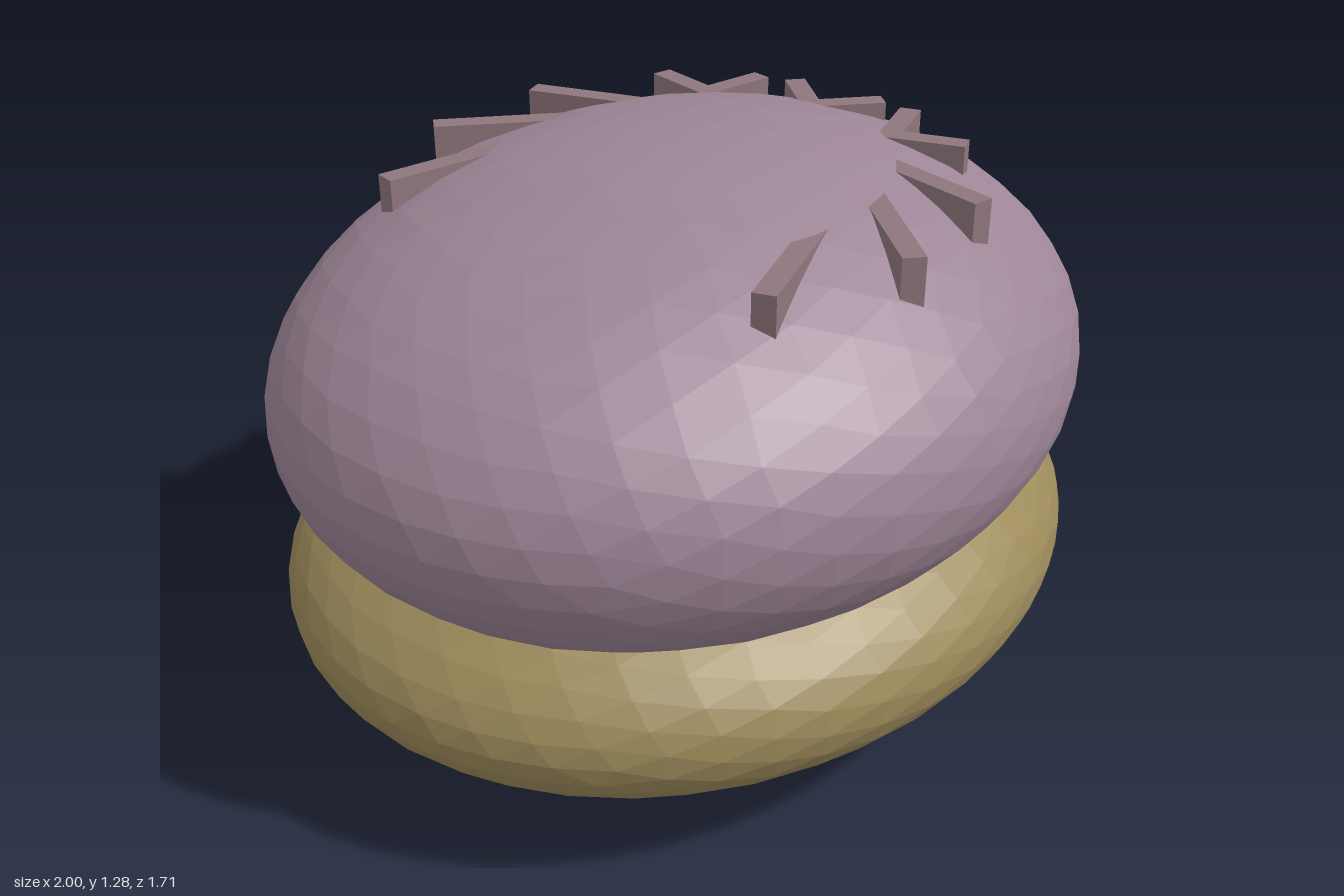
import * as THREE from 'three';

// Faceted ellipsoid: an icosahedron halved repeatedly, pushed onto the sphere, then scaled
function facetedEllipsoid(rx, ry, rz) {
  const pos = new THREE.IcosahedronGeometry(1, 0).attributes.position;
  let points = [];
  for (let i = 0; i < pos.count; i++) points.push(new THREE.Vector3().fromBufferAttribute(pos, i));
  for (let level = 0; level < 3; level++) {
    const next = [];
    for (let i = 0; i < points.length; i += 3) {
      const [a, b, c] = points.slice(i, i + 3);
      const mid = (p, q) => p.clone().add(q).normalize();
      const ab = mid(a, b), bc = mid(b, c), ca = mid(c, a);
      next.push(a, ab, ca, ab, b, bc, ca, bc, c, ab, bc, ca);
    }
    points = next;
  }
  const geometry = new THREE.BufferGeometry().setFromPoints(points);
  geometry.scale(rx, ry, rz);
  geometry.computeVertexNormals();
  return geometry;
}

export function createModel() {
  const group = new THREE.Group();
  const material = (color) => new THREE.MeshStandardMaterial({ color, flatShading: true });
  const add = (name, geometry, mat, x, y, z) => {
    const mesh = new THREE.Mesh(geometry, mat);
    mesh.name = name;
    mesh.position.set(x, y, z);
    group.add(mesh);
    return mesh;
  };

  // Two squashed halves, one resting in the other
  add('lowerShell', facetedEllipsoid(1, 0.355, 0.855), material(0x9c8a5a), 0, 0.358, 0);
  add('upperShell', facetedEllipsoid(1, 0.495, 0.855), material(0x9d8596), 0, 0.79, 0);

  // Flat-topped ridges around the crown, inner ends sunk in the shell: outer x, z to inner x, z
  const ridges = [
    [-0.425, -0.485, -0.02, -0.375],
    [-0.12, -0.63, 0.13, -0.38],
    [0.208, -0.608, 0.285, -0.33],
    [0.485, -0.425, 0.43, -0.23],
    [0.61, -0.21, 0.42, -0.258],
    [0.63, -0.125, 0.505, 0],
  ];
  const ridgeMaterial = material(0x8f777c);
  const top = 1.215, height = 0.18, width = 0.05;
  for (const side of [1, -1]) {
    for (const [x0, z0, x1, z1] of ridges) {
      const dx = x1 - x0, dz = (z1 - z0) * side;
      const bar = new THREE.BoxGeometry(Math.hypot(dx, dz), height, width);
      const mesh = add(side > 0 ? 'backRidge' : 'frontRidge', bar, ridgeMaterial,
        (x0 + x1) / 2, top - height / 2, (z0 + z1) / 2 * side);
      mesh.rotation.y = -Math.atan2(dz, dx);
    }
  }
  return group;
}
